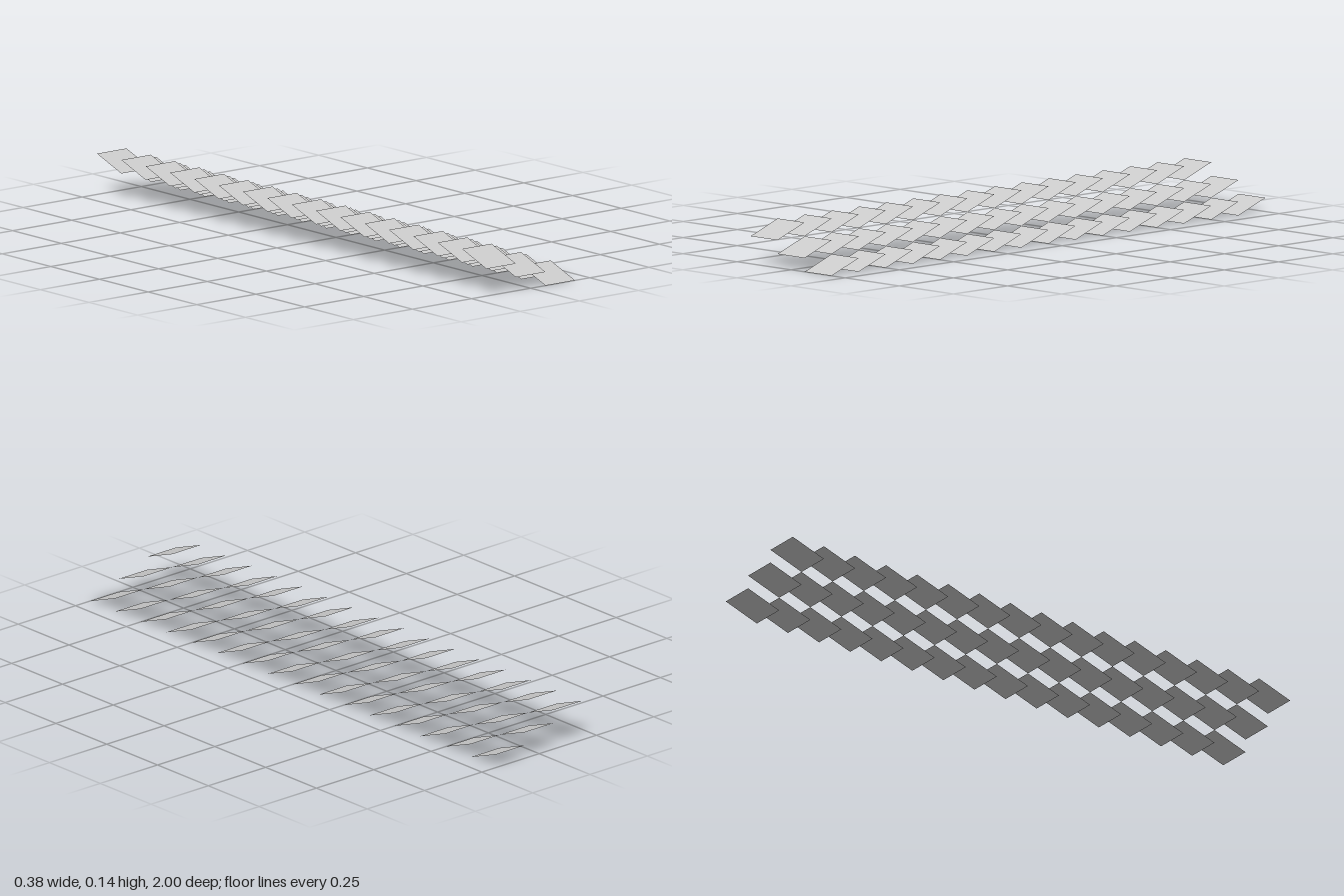
import * as THREE from 'three';

export function createModel() {
  const group = new THREE.Group();
  group.name = 'slatRoof';
  const material = new THREE.MeshStandardMaterial({
    color: 0xcccccc, flatShading: true, side: THREE.DoubleSide,
  });

  const rows = 3, columns = 16, pitch = 2 / columns;
  const tilt = THREE.MathUtils.degToRad(20);
  const rise = pitch * Math.tan(tilt);

  // One thin tile, low at its front edge and high at the back
  const tile = new THREE.PlaneGeometry(pitch, pitch / Math.cos(tilt));
  tile.rotateX(tilt - Math.PI / 2);

  // Three rows of tiles, stepping down towards the left side
  for (let r = 0; r < rows; r++) {
    const row = new THREE.Group();
    row.name = `tileRow${r + 1}`;
    row.position.set((r - (rows - 1) / 2) * pitch, (rows - r - 0.5) * rise, 0);
    for (let c = 0; c < columns; c++) {
      const mesh = new THREE.Mesh(tile, material);
      mesh.name = `tile${c + 1}`;
      mesh.position.z = 1 - (c + 0.5) * pitch;
      row.add(mesh);
    }
    group.add(row);
  }
  return group;
}
